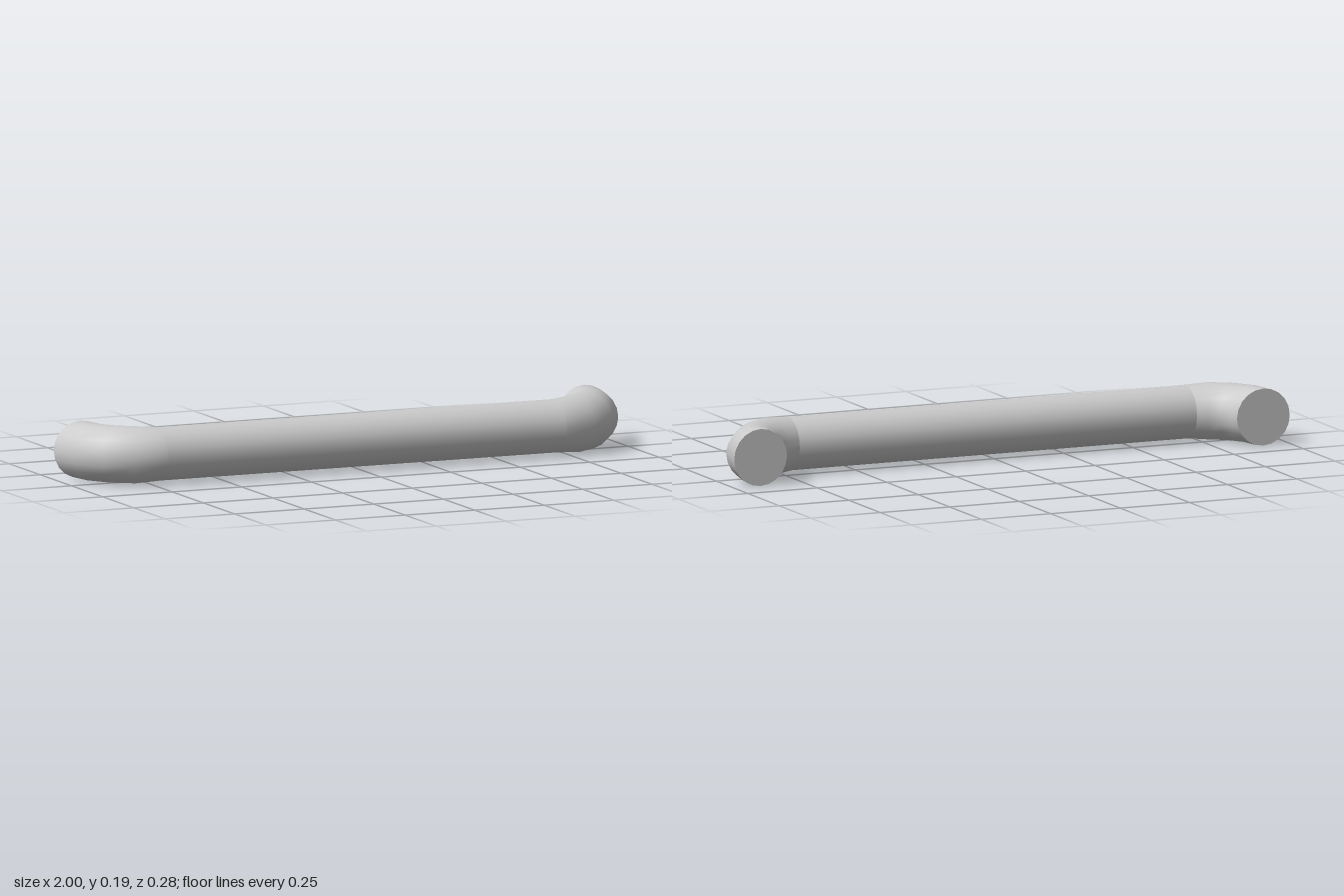
import * as THREE from 'three';

const SIDES = 20, STEPS = 4;
const R = 0.095, BAR_R = 0.0885;   // foot and bar radii
const BEND_X = 0.715, BACK_Z = -0.142, BEND_W = 0.19, BEND_D = 0.196;

// Quarter bend swept from the wall (facing -z) round to the bar end
function elbowGeometry() {
  const pos = [], index = [];
  for (let k = 0; k <= STEPS; k++) {
    const t = (k / STEPS) * Math.PI / 2, c = Math.cos(t), s = Math.sin(t);
    const r = k === STEPS ? BAR_R : R;
    for (let i = 0; i < SIDES; i++) {
      const a = (i / SIDES) * Math.PI * 2, out = r * Math.cos(a);
      pos.push(BEND_X + (BEND_W + out) * c, r * Math.sin(a), BACK_Z + (BEND_D + out) * s);
      if (k < STEPS) {
        const j = (i + 1) % SIDES, p = k * SIDES, q = p + SIDES;
        index.push(p + i, p + j, q + i, p + j, q + j, q + i);
      }
    }
  }
  const g = new THREE.BufferGeometry();
  g.setAttribute('position', new THREE.Float32BufferAttribute(pos, 3));
  g.setIndex(index);
  g.computeVertexNormals();
  return g;
}

export function createModel() {
  const group = new THREE.Group();
  group.name = 'pullHandle';
  const mat = new THREE.MeshStandardMaterial({ color: 0xcccccc });
  const add = (parent, geo, name) => {
    const m = new THREE.Mesh(geo, mat);
    m.name = name;
    parent.add(m);
    return m;
  };

  // Straight grip bar
  const barGeo = new THREE.CylinderGeometry(BAR_R, BAR_R, BEND_X * 2, SIDES, 1, true).rotateZ(Math.PI / 2);
  add(group, barGeo, 'gripBar').position.set(0, R, BACK_Z + BEND_D);

  // Bent ends with flat mounting faces; a half turn about z mirrors the pair
  const elbow = elbowGeometry();
  const cap = new THREE.CircleGeometry(R, SIDES).rotateY(Math.PI).translate(BEND_X + BEND_W, 0, BACK_Z);
  for (const side of ['left', 'right']) {
    const end = new THREE.Group();
    end.name = side + 'End';
    end.position.y = R;
    end.rotation.z = side === 'left' ? 0 : Math.PI;
    add(end, elbow, side + 'Elbow');
    add(end, cap, side + 'MountingFace');
    group.add(end);
  }
  return group;
}
